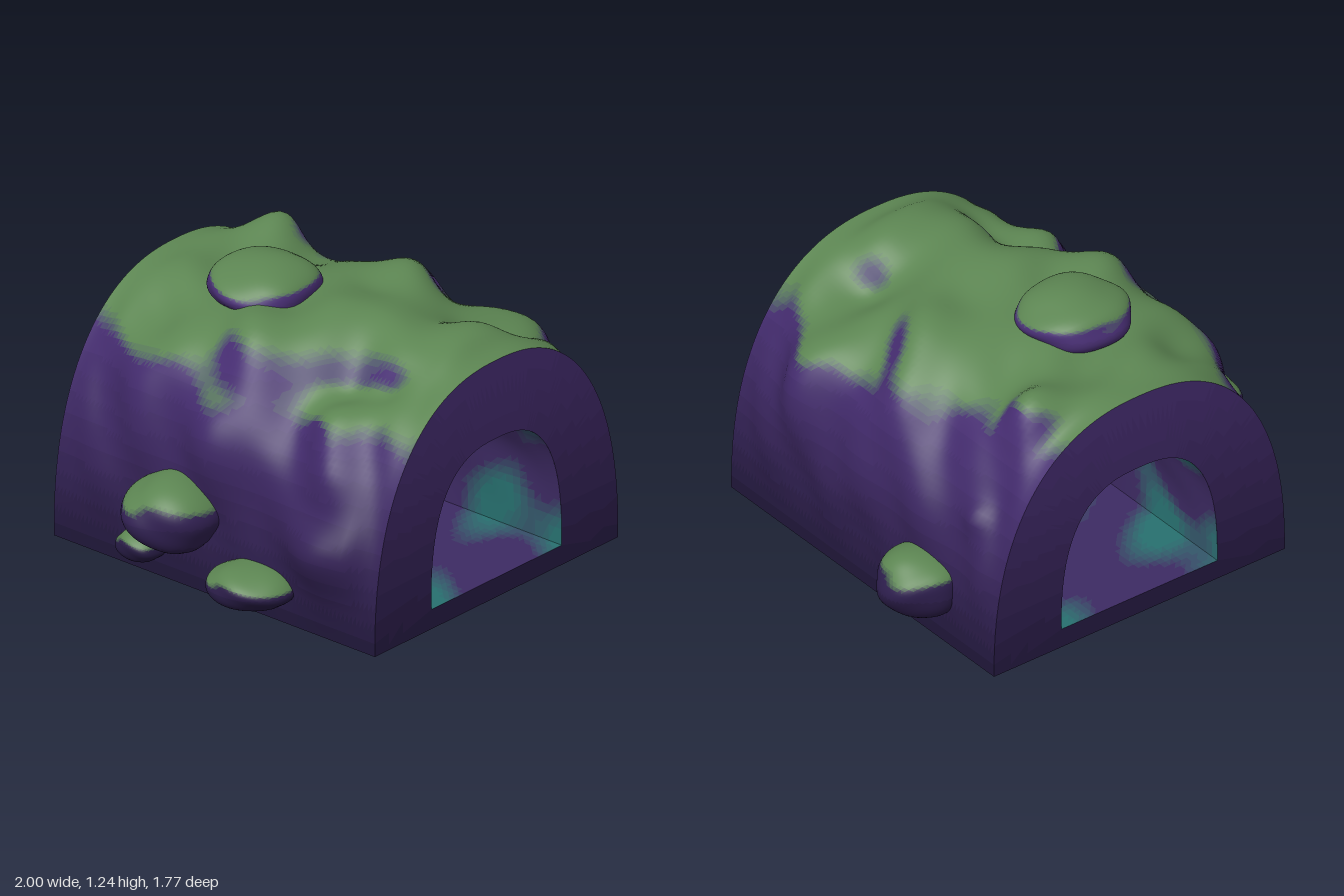
import * as THREE from 'three';
import { mergeVertices } from 'three/addons/utils/BufferGeometryUtils.js';

const CX = 0.02, DEPTH = 0.885, FLOOR = 0.09;
const ROCK_LOW = new THREE.Color(0x1f1638), ROCK_HIGH = new THREE.Color(0x482e74);
const CAVE_ROCK = new THREE.Color(0x3d2a63), CAVE_GLOW = new THREE.Color(0x27706f);
const MOSS = new THREE.Color(0x5c8552);
const { lerp, clamp, smoothstep } = THREE.MathUtils;

// Stepped blend between two colours
const blend = (a, b, f, steps = 12) => a.clone().lerp(b, Math.round(clamp(f, 0, 1) * steps) / steps);
const rockTone = (y) => blend(ROCK_LOW, ROCK_HIGH, y);
const caveTone = (p) => {
  const n = Math.sin(p.x * 6 + p.z * 5) * Math.sin(p.z * 9 - p.y * 7 + 1) + 0.5 * Math.sin(p.y * 11 + p.z * 4 + p.x * 8);
  return blend(CAVE_ROCK, CAVE_GLOW, n * 0.9 + 0.1, 8);
};

// Superellipse arch, a = 0 at +x base, PI at -x base
function arch(a, halfWidth, height, power, base = 0) {
  const c = Math.cos(a), s = Math.max(0, Math.sin(a));
  return new THREE.Vector3(CX + halfWidth * Math.sign(c) * Math.abs(c) ** (2 / power), base + height * s ** (2 / power), 0);
}
const outerArch = (a) => arch(a, 0.765, 1.09, 2.35);
const innerArch = (a) => arch(a, 0.41, 0.64, 2.65, FLOOR);

// Surface from a rule over u, v in 0..1, facing du x dv
function grid(nu, nv, rule) {
  const pos = [], index = [];
  for (let j = 0; j <= nv; j++) for (let i = 0; i <= nu; i++) pos.push(...rule(i / nu, j / nv).toArray());
  for (let j = 0; j < nv; j++) for (let i = 0; i < nu; i++) {
    const a = j * (nu + 1) + i, b = a + nu + 1;
    index.push(a, a + 1, b, a + 1, b + 1, b);
  }
  const g = new THREE.BufferGeometry();
  g.setAttribute('position', new THREE.Float32BufferAttribute(pos, 3));
  g.setIndex(index);
  g.computeVertexNormals();
  return g;
}

// Splits a surface by colour into meshes that share smooth normals
function paint(name, geometry, tone) {
  const { position, normal } = geometry.attributes, idx = geometry.index.array, sets = new Map();
  const p = new THREE.Vector3(), n = new THREE.Vector3(), v = new THREE.Vector3();
  for (let i = 0; i < idx.length; i += 3) {
    p.set(0, 0, 0); n.set(0, 0, 0);
    for (let k = 0; k < 3; k++) {
      p.addScaledVector(v.fromBufferAttribute(position, idx[i + k]), 1 / 3);
      n.addScaledVector(v.fromBufferAttribute(normal, idx[i + k]), 1 / 3);
    }
    const hex = tone(p, n).getHex();
    if (!sets.has(hex)) sets.set(hex, []);
    sets.get(hex).push(idx[i], idx[i + 1], idx[i + 2]);
  }
  const group = new THREE.Group();
  group.name = name;
  for (const [hex, faces] of sets) {
    const g = new THREE.BufferGeometry();
    g.setAttribute('position', position);
    g.setAttribute('normal', normal);
    g.setIndex(faces);
    const mesh = new THREE.Mesh(g, new THREE.MeshStandardMaterial({ color: hex }));
    mesh.name = name + 'Surface';
    group.add(mesh);
  }
  return group;
}

// Lumps and hollows of the hill: x, y, z, radius, height
const LUMPS = [
  [0.74, 0.64, 0.42, 0.23, 0.13], [0.64, 0.84, 0.42, 0.17, 0.09], [0.36, 1.02, 0.04, 0.18, 0.1],
  [0.78, 0.45, 0.08, 0.2, 0.05], [0.38, 1.0, -0.67, 0.14, 0.12], [0.72, 0.6, -0.25, 0.24, 0.05],
  [0.62, 0.87, -0.05, 0.22, 0.13], [-0.42, 0.96, -0.05, 0.22, 0.15], [-0.56, 0.84, -0.42, 0.22, 0.11],
  [-0.68, 0.68, 0.02, 0.22, 0.13], [-0.74, 0.36, 0.6, 0.17, 0.12], [-0.66, 0.68, 0.58, 0.15, 0.1],
  [-0.54, 0.86, 0.48, 0.13, 0.06], [-0.1, 1.09, 0.2, 0.25, 0.06], [0.02, 1.09, 0.62, 0.2, 0.05],
  [-0.4, 0.96, 0.4, 0.13, -0.09], [-0.34, 1.0, 0.6, 0.1, -0.06], [0.33, 1.01, 0.52, 0.13, -0.1],
  [0.72, 0.64, -0.66, 0.07, 0.05], [0.1, 1.08, -0.6, 0.18, -0.04], [-0.72, 0.58, -0.4, 0.2, 0.05]
];
function hillPoint(u, v) {
  const a = u * Math.PI, z = lerp(-DEPTH, DEPTH, v), p = outerArch(a).setZ(z);
  const fade = smoothstep(DEPTH - Math.abs(z), 0, 0.15) * smoothstep(p.y, 0.02, 0.4);
  let h = 0.012 + 0.016 * Math.sin(9 * z + 7 * p.x) * Math.sin(8 * a + 5 * z) + 0.01 * Math.sin(17 * z - 11 * a);
  for (const [x, y, lz, r, amp] of LUMPS) {
    const d2 = (p.x - x) ** 2 + (p.y - y) ** 2 + (z - lz) ** 2;
    h += amp * Math.exp(-d2 / (r * r));
  }
  const out = new THREE.Vector3(Math.cos(a), Math.sin(a), 0);
  return p.addScaledVector(out, h * fade);
}
// Moss fades out on steep or low ground
function hillTone(p, n) {
  const back = smoothstep(-p.z, 0.1, 0.5) * (p.x > 0 ? 0.11 : 0.05);
  const edge = 0.8 + back + 0.025 * Math.sin(p.z * 12);
  const cover = smoothstep(p.y, edge, edge + 0.09) * smoothstep(n.y, 0.5, 0.76);
  return blend(rockTone(p.y), MOSS, cover, 6);
}

// Slightly uneven tunnel wall
function tunnelPoint(u, v) {
  const a = u * Math.PI, z = lerp(DEPTH, -DEPTH, v), p = innerArch(a).setZ(z);
  const wave = Math.sin(8 * z + 5 * a) * Math.sin(4 * a);
  const h = (0.012 * wave - 0.008 * Math.sin(a)) * smoothstep(DEPTH - Math.abs(z), 0, 0.2);
  return p.add(new THREE.Vector3(Math.cos(a) * h, Math.sin(a) * h, 0));
}

// Rounded block with a flat underside and a mossy top
function boulder(name, [x, y, z], [rx, ry, rz], seed) {
  let g = new THREE.IcosahedronGeometry(1, 10);
  g.deleteAttribute('normal');
  g.deleteAttribute('uv');
  g = mergeVertices(g, 1e-4);
  const at = g.attributes.position, v = new THREE.Vector3();
  for (let i = 0; i < at.count; i++) {
    v.fromBufferAttribute(at, i);
    const w = 1 + 0.04 * Math.sin(4 * v.x + seed) * Math.sin(3 * v.z + 2 * seed) + 0.03 * Math.sin(5 * v.y + 4 * v.z + seed);
    at.setXYZ(i, x + rx * w * v.x, y + ry * Math.max(-0.8, w * v.y), z + rz * w * v.z);
  }
  g.computeVertexNormals();
  return paint(name, g, (p, n) => blend(rockTone(p.y * 0.85), MOSS, smoothstep(n.y, 0.4, 0.65), 6));
}

// Faceted spike with its base at a point, aimed along a direction; belly is the height of its widest part
function spike(name, base, dir, radius, length, color, belly) {
  const profile = [[0, 0], [radius, length * belly], [radius * 0.55, length * (0.55 + belly * 0.35)], [0, length]];
  const g = new THREE.LatheGeometry(profile.map(([r, y]) => new THREE.Vector2(r, y)), 6);
  const mesh = new THREE.Mesh(g, new THREE.MeshStandardMaterial({ color, flatShading: true }));
  mesh.name = name;
  mesh.position.set(...base);
  mesh.quaternion.setFromUnitVectors(new THREE.Vector3(0, 1, 0), new THREE.Vector3(...dir).normalize());
  return mesh;
}

// Fan of crystals around an axis
function crystals(name, base, axis, count, length, spread) {
  const group = new THREE.Group();
  group.name = name;
  const turn = new THREE.Quaternion().setFromUnitVectors(new THREE.Vector3(0, 1, 0), axis);
  for (let i = 0; i < count; i++) {
    const a = i * 2.4, r = spread * Math.sqrt(i / count);
    const lean = new THREE.Vector3(Math.cos(a) * r, 0, Math.sin(a) * r).applyQuaternion(turn);
    const root = new THREE.Vector3(...base).addScaledVector(lean, 0.045);
    const size = length * (0.8 + 0.2 * Math.cos(i * 1.7));
    group.add(spike('crystal', root.toArray(), lean.add(axis).toArray(), length * 0.12, size, 0x5cb6ba, 0.4));
  }
  return group;
}

export function createModel() {
  const model = new THREE.Group();
  model.name = 'mossyCave';

  // Hill, tunnel and floor
  model.add(paint('hill', grid(96, 84, hillPoint), hillTone));
  model.add(paint('tunnelWall', grid(56, 48, tunnelPoint), caveTone));
  model.add(paint('tunnelFloor', grid(56, 28, (u, v) =>
    new THREE.Vector3(lerp(-0.39, 0.43, v), FLOOR, lerp(-DEPTH, DEPTH, u))), caveTone));
  model.add(paint('underside', grid(1, 1, (u, v) =>
    new THREE.Vector3(lerp(-0.745, 0.785, u), 0, lerp(-DEPTH, DEPTH, v))), () => ROCK_LOW));

  // Flat arch face and sill at each end
  for (const s of [1, -1]) {
    const end = s > 0 ? 'front' : 'back';
    model.add(paint(end + 'Arch', grid(96, 4, (u, v) => {
      const a = u * Math.PI;
      return outerArch(a).lerp(innerArch(a), s > 0 ? v : 1 - v).setZ(s * DEPTH);
    }), (p) => rockTone(p.y * 0.75 + 0.08)));
    model.add(paint(end + 'Sill', grid(1, 1, (u, v) => {
      const k = s > 0 ? u : 1 - u;
      return new THREE.Vector3(CX + (k * 2 - 1) * lerp(0.765, 0.41, v), v * FLOOR, s * DEPTH);
    }), () => rockTone(0.1)));
  }

  // Boulders
  model.add(boulder('topBoulder', [-0.11, 1.125, -0.28], [0.245, 0.115, 0.24], 1));
  model.add(boulder('leftBoulder', [0.81, 0.25, -0.42], [0.185, 0.145, 0.185], 2.2));
  model.add(boulder('rightLargeBoulder', [-0.77, 0.34, -0.2], [0.225, 0.16, 0.215], 3.1));
  model.add(boulder('rightFlatBoulder', [-0.78, 0.145, 0.24], [0.18, 0.09, 0.19], 4.5));
  model.add(boulder('rightSmallBoulder', [-0.77, 0.13, -0.38], [0.1, 0.07, 0.11], 5.3));

  // Stalactites and stalagmites: x, y, z, radius, length, up or down
  const spikes = [
    [-0.11, 0.75, -0.2, 0.05, 0.15, -1], [0.18, 0.73, 0.15, 0.03, 0.2, -1], [0.3, 0.66, 0.4, 0.025, 0.18, -1],
    [0.29, FLOOR, -0.62, 0.06, 0.15, 1], [0.34, FLOOR, -0.17, 0.055, 0.17, 1]
  ];
  for (const [x, y, z, r, len, up] of spikes) {
    const name = up > 0 ? 'stalagmite' : 'stalactite';
    model.add(spike(name, [x, y, z], [0, up, 0], r, len, 0x563a7a, up > 0 ? 0.02 : 0.3));
  }

  // Crystal clusters
  model.add(crystals('ceilingCrystals', [0.11, 0.72, -0.55], new THREE.Vector3(0.2, -1, 0).normalize(), 16, 0.14, 0.8));
  model.add(crystals('wallCrystals', [-0.33, 0.51, 0.3], new THREE.Vector3(1, 0, 0), 10, 0.09, 0.5));
  return model;
}
